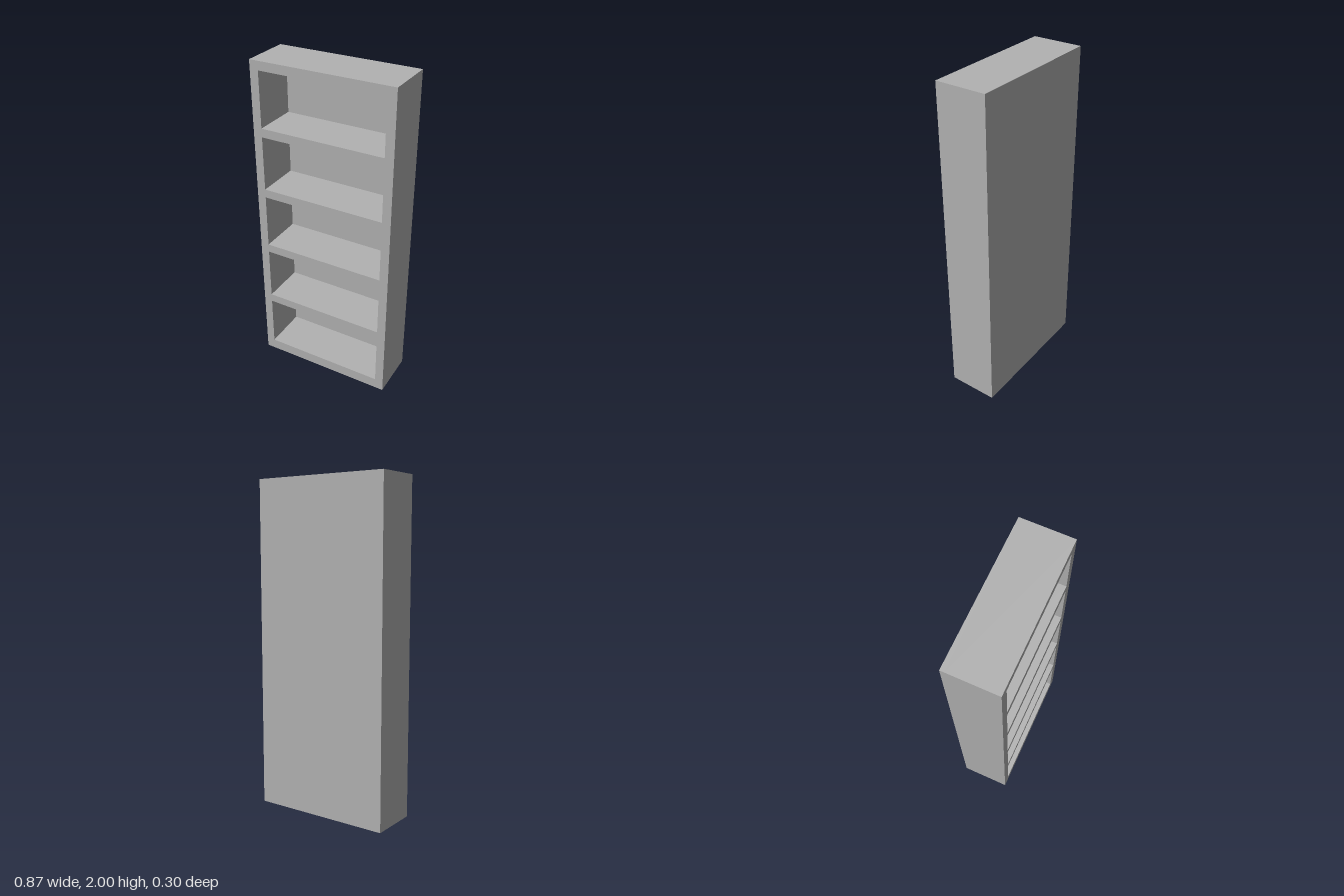
import * as THREE from 'three';

const W = 0.866, H = 2, D = 0.304;      // outer size
const BACK = 0.026;                     // back panel thickness
const BOARD = 0.053;                    // side, top and shelf thickness
const BASE = 0.068;                     // height of the lowest shelf
const COUNT = 5;                        // open compartments

// Counter-clockwise rectangle, or clockwise when used as a hole
function rectangle(target, x0, y0, x1, y1) {
  target.moveTo(x0, y0);
  target.lineTo(x1, y0);
  target.lineTo(x1, y1);
  target.lineTo(x0, y1);
  target.closePath();
  return target;
}

export function createModel() {
  const group = new THREE.Group();
  group.name = 'bookcase';
  const grey = new THREE.MeshStandardMaterial({ color: 0xb2b2b2 });
  grey.name = 'grey';

  // Sides, top, base and shelves: one front outline with a hole per compartment
  const outline = rectangle(new THREE.Shape(), -W / 2, 0, W / 2, H);
  const pitch = (H - BASE) / COUNT;
  const inner = W / 2 - BOARD;
  for (let i = 0; i < COUNT; i++) {
    const y = BASE + i * pitch;
    outline.holes.push(rectangle(new THREE.Path(), -inner, y, inner, y + pitch - BOARD));
  }
  const frame = new THREE.Mesh(
    new THREE.ExtrudeGeometry(outline, { depth: D - BACK, bevelEnabled: false }), grey);
  frame.name = 'frameAndShelves';
  frame.position.z = -D / 2 + BACK;
  group.add(frame);

  // Solid panel closing the rear
  const back = new THREE.Mesh(new THREE.BoxGeometry(W, H, BACK), grey);
  back.name = 'backPanel';
  back.position.set(0, H / 2, -D / 2 + BACK / 2);
  group.add(back);

  return group;
}
